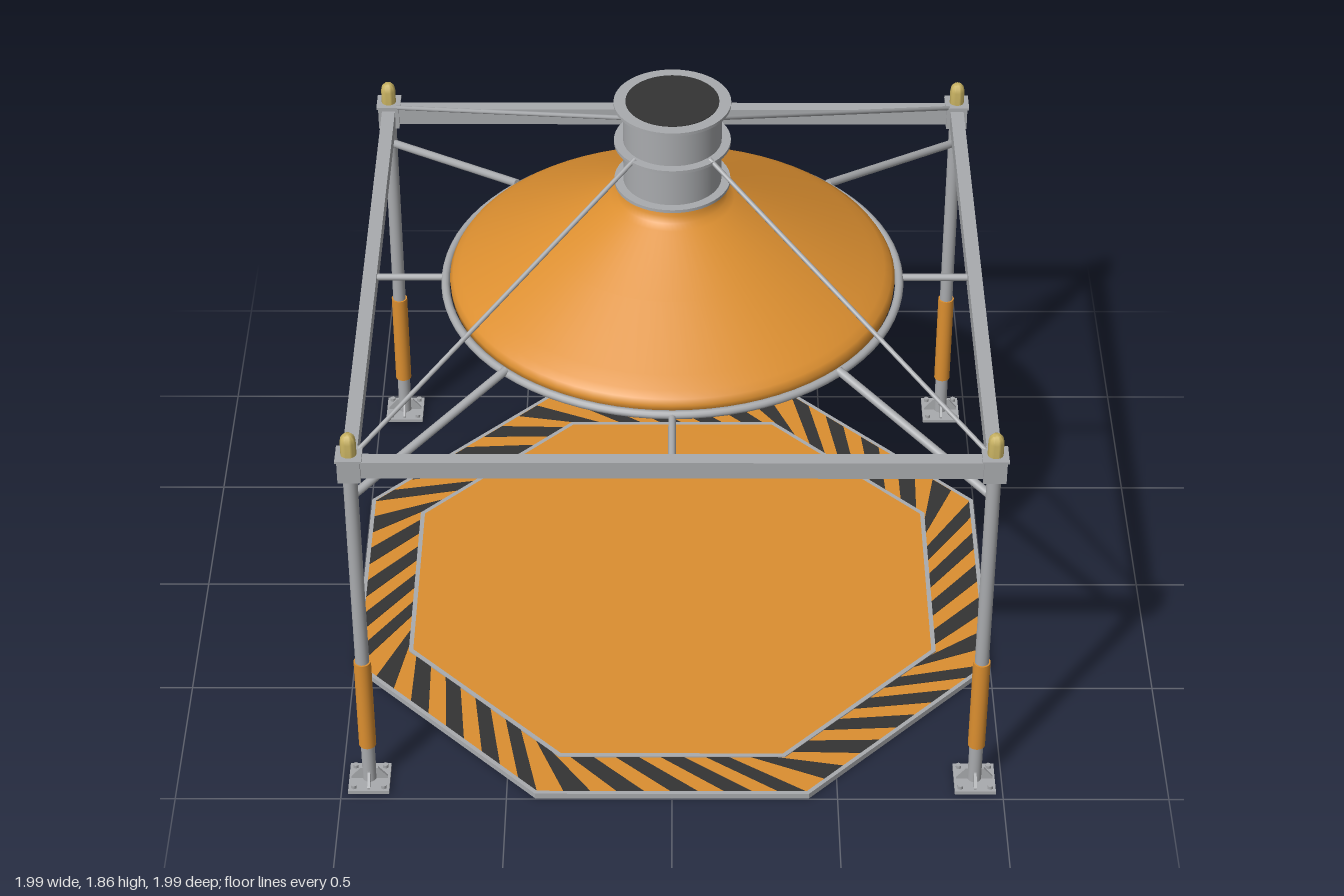
import * as THREE from 'three';
import { toCreasedNormals } from 'three/addons/utils/BufferGeometryUtils.js';

const mat = (name, color, side = THREE.FrontSide) => {
  const m = new THREE.MeshStandardMaterial({ color, side });
  m.name = name;
  return m;
};

export function createModel() {
  const orange = mat('orange paint', 0xdc8f30);
  const orangeSheet = mat('orange sheet', 0xdc8f30, THREE.DoubleSide);
  const steel = mat('grey steel', 0xa9abae);
  const dark = mat('dark grey', 0x343434);
  const brass = mat('brass', 0xc8b262);

  const model = new THREE.Group();
  model.name = 'hoodStation';

  const add = (parent, name, geo, material, x = 0, y = 0, z = 0) => {
    const m = new THREE.Mesh(geo, material);
    m.name = name;
    m.position.set(x, y, z);
    parent.add(m);
    return m;
  };
  const cyl = (r, h, n = 24) => new THREE.CylinderGeometry(r, r, h, n);
  const box = (x, y, z) => new THREE.BoxGeometry(x, y, z);
  // Round bar between two points
  const rod = (parent, name, a, b, r) => {
    const d = b.clone().sub(a);
    const m = add(parent, name, cyl(r, d.length(), 12), steel);
    m.position.copy(a).add(b).multiplyScalar(0.5);
    m.quaternion.setFromUnitVectors(new THREE.Vector3(0, 1, 0), d.normalize());
  };
  const V = (x, y, z) => new THREE.Vector3(x, y, z);

  // ---- Floor mat: octagon with hazard border ----
  const floor = new THREE.Group();
  floor.name = 'floorMat';
  model.add(floor);
  // Point on an octagon's outline, u counted in sides
  const octPoint = (apothem, u) => {
    const R = apothem / Math.cos(Math.PI / 8);
    const k = Math.floor(u), t = u - k;
    const c = (i) => {
      const a = (i + 0.5) * Math.PI / 4;
      return new THREE.Vector2(R * Math.cos(a), -R * Math.sin(a));
    };
    return c(k).lerp(c(k + 1), t);
  };
  const octagon = (apothem) => Array.from({ length: 8 }, (_, i) => octPoint(apothem, i));
  const plate = (points, hole, y0, y1) => {
    const s = new THREE.Shape(points);
    if (hole) s.holes.push(new THREE.Path(hole));
    const g = new THREE.ExtrudeGeometry(s, { depth: y1 - y0, bevelEnabled: false });
    return g.rotateX(-Math.PI / 2).translate(0, y0, 0);
  };
  add(floor, 'matSlab', plate(octagon(0.99), null, 0.002, 0.015), orange);
  add(floor, 'outerTrim', plate(octagon(0.997), octagon(0.984), 0, 0.019), steel);
  add(floor, 'innerTrim', plate(octagon(0.832), octagon(0.818), 0, 0.019), steel);
  const stripes = 40, step = 8 / stripes, skew = 0.25;
  for (let i = 0; i < stripes; i++) {
    const u = i * step, w = step / 2;
    add(floor, 'hazardStripe', plate([
      octPoint(0.985, u), octPoint(0.985, u + w),
      octPoint(0.831, u + w + skew), octPoint(0.831, u + skew),
    ], null, 0.0005, 0.017), dark);
  }

  // ---- Corner posts ----
  const P = 0.917;
  const gussetShape = new THREE.Shape([
    new THREE.Vector2(0.015, 0), new THREE.Vector2(0.055, 0),
    new THREE.Vector2(0.055, 0.008), new THREE.Vector2(0.027, 0.042), new THREE.Vector2(0.015, 0.042),
  ]);
  const gussetGeo = new THREE.ExtrudeGeometry(gussetShape, { depth: 0.008, bevelEnabled: false })
    .translate(0, 0, -0.004);
  const finialGeo = toCreasedNormals(new THREE.LatheGeometry([
    [0, 0], [0.023, 0], [0.023, 0.045], [0.02, 0.06], [0.012, 0.069], [0, 0.072],
  ].map((p) => new THREE.Vector2(...p)), 20), 0.8);

  for (const sx of [-1, 1]) for (const sz of [-1, 1]) {
    const post = new THREE.Group();
    post.name = 'cornerPost';
    post.position.set(sx * P, 0, sz * P);
    model.add(post);
    add(post, 'footPlate', box(0.124, 0.012, 0.124), steel, 0, 0.006, 0);
    add(post, 'postTube', cyl(0.021, 1.18), steel, 0, 0.6, 0);
    add(post, 'paintedSleeve', cyl(0.026, 0.33), orange, 0, 0.315, 0);
    add(post, 'cornerBlock', box(0.066, 0.076, 0.066), steel, 0, 1.218, 0);
    add(post, 'capPlate', box(0.076, 0.008, 0.076), steel, 0, 1.258, 0);
    add(post, 'finial', finialGeo, brass, 0, 1.261, 0);
    for (let i = 0; i < 4; i++) {
      const a = i * Math.PI / 2;
      add(post, 'gusset', gussetGeo, steel, 0, 0.011, 0).rotation.y = a;
      add(post, 'footBolt', cyl(0.009, 0.012, 6), steel,
        0.064 * Math.cos(a + Math.PI / 4), 0.017, 0.064 * Math.sin(a + Math.PI / 4));
    }
    // Strut up to the support ring, and stay rod to the neck collar
    rod(model, 'diagonalStrut', V(sx * P, 1.105, sz * P), V(sx * 0.488, 1.235, sz * 0.488), 0.013);
    rod(model, 'stayRod', V(sx * 0.9, 1.25, sz * 0.9), V(sx * 0.11, 1.725, sz * 0.11), 0.007);
  }

  // ---- Top frame and short ring struts ----
  for (const s of [-1, 1]) {
    add(model, 'frameBeam', box(2 * P - 0.06, 0.056, 0.042), steel, 0, 1.217, s * P);
    add(model, 'frameBeam', box(0.042, 0.056, 2 * P - 0.06), steel, s * P, 1.217, 0);
    rod(model, 'ringStrut', V(s * 0.69, 1.222, 0), V(s * 0.9, 1.222, 0), 0.011);
    rod(model, 'ringStrut', V(0, 1.222, s * 0.69), V(0, 1.222, s * 0.9), 0.011);
  }
  add(model, 'supportRing', new THREE.TorusGeometry(0.688, 0.013, 12, 80).rotateX(Math.PI / 2),
    steel, 0, 1.225, 0);

  // ---- Conical hood ----
  const hoodProfile = [
    [0.655, 1.215], [0.672, 1.222], [0.674, 1.245], [0.664, 1.262], [0.642, 1.277], [0.6, 1.3],
    [0.39, 1.411], [0.185, 1.519], [0.165, 1.533], [0.154, 1.552], [0.15, 1.58],
  ].map((p) => new THREE.Vector2(...p));
  add(model, 'hood', new THREE.LatheGeometry(hoodProfile, 72), orangeSheet);

  // ---- Neck duct with flanges ----
  const neck = new THREE.Group();
  neck.name = 'neckDuct';
  model.add(neck);
  add(neck, 'ductTube', cyl(0.146, 0.28, 48), steel, 0, 1.71, 0);
  for (const y of [1.582, 1.72, 1.852]) add(neck, 'flange', cyl(0.173, 0.01, 48), steel, 0, y, 0);
  add(neck, 'ductOpening', cyl(0.138, 0.004, 48), dark, 0, 1.857, 0);

  return model;
}
